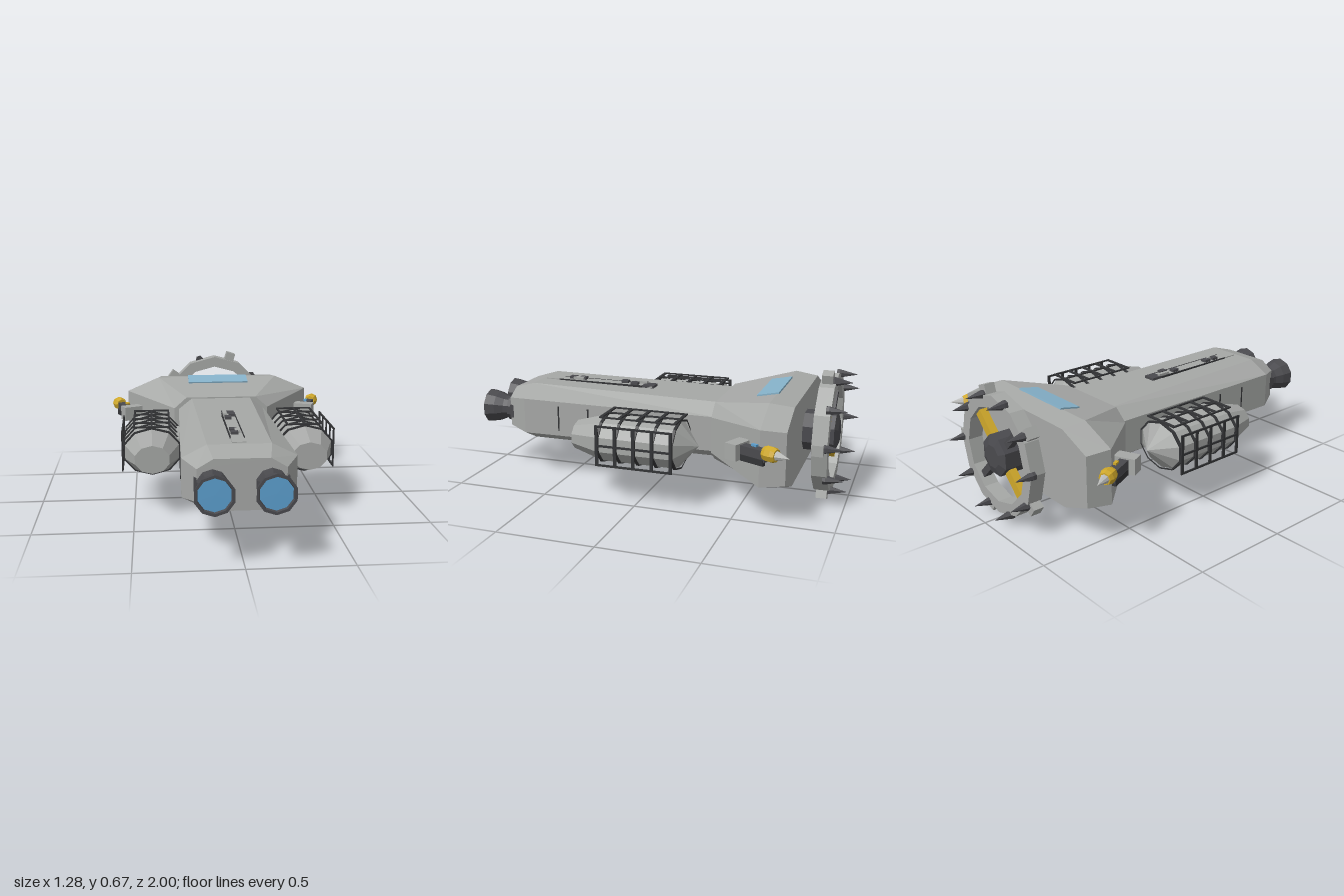
import * as THREE from 'three';

const mat = (name, color, side = THREE.FrontSide) => {
  const m = new THREE.MeshStandardMaterial({ color, side });
  m.name = name;
  return m;
};

export function createModel() {
  const model = new THREE.Group();
  model.name = 'spaceship';
  const hullGrey = mat('hull grey', 0xa6a8a6);
  const darkGrey = mat('dark grey', 0x4a4a4e);
  const frameBlack = mat('frame black', 0x333436);
  const yellow = mat('yellow', 0xcfa82a);
  const glowBlue = mat('engine blue', 0x5c9fce);
  const glassBlue = mat('window blue', 0x86b2ca);
  const paleGrey = mat('pale grey', 0xb9bab8);
  const CY = 0.34;

  // Faceted mesh: one normal per face
  const add = (name, geo, material, parent = model) => {
    const g = geo.index ? geo.toNonIndexed() : geo;
    g.computeVertexNormals();
    const m = new THREE.Mesh(g, material);
    m.name = name;
    parent.add(m);
    return m;
  };
  const box = (name, w, h, d, x, y, z, material, parent) => {
    const m = add(name, new THREE.BoxGeometry(w, h, d), material, parent);
    m.position.set(x, y, z);
    return m;
  };
  const group = (name, parent = model) => {
    const g = new THREE.Group();
    g.name = name;
    parent.add(g);
    return g;
  };
  // Turned solid along z; profile points are [radius, z] with z rising
  const turned = (profile, sides) => new THREE.LatheGeometry(
    profile.map(([r, z]) => new THREE.Vector2(r, z)), sides).rotateX(Math.PI / 2);

  // Loft of eight-cornered sections: [z, halfWidth, flatHalfWidth, top, upperEdge, lowerEdge, bottom]
  const loft = (sections) => {
    const rings = sections.map(([z, w, f, t, u, l, b]) =>
      [[f, t], [-f, t], [-w, u], [-w, l], [-f, b], [f, b], [w, l], [w, u]].map(([x, y]) => [x, y, z]));
    const pos = [];
    const tri = (a, b, c) => pos.push(...a, ...b, ...c);
    for (let i = 0; i < rings.length - 1; i++) {
      const p = rings[i], q = rings[i + 1];
      for (let k = 0; k < 8; k++) {
        const n = (k + 1) % 8;
        tri(p[k], p[n], q[n]);
        tri(p[k], q[n], q[k]);
      }
    }
    const back = rings[0], front = rings[rings.length - 1];
    for (let k = 1; k < 7; k++) {
      tri(front[0], front[k], front[k + 1]);
      tri(back[0], back[k + 1], back[k]);
    }
    const g = new THREE.BufferGeometry();
    g.setAttribute('position', new THREE.Float32BufferAttribute(pos, 3));
    return g;
  };

  // Hull and wide head
  add('hull', loft([
    [-0.36, 0.245, 0.17, 0.49, 0.43, 0.25, 0.2],
    [0.72, 0.27, 0.15, 0.5, 0.44, 0.25, 0.19],
    [0.84, 0.205, 0.13, 0.465, 0.42, 0.265, 0.22],
  ]), hullGrey);
  add('head', loft([
    [-0.76, 0.515, 0.34, 0.545, 0.47, 0.21, 0.145],
    [-0.64, 0.543, 0.355, 0.56, 0.48, 0.2, 0.13],
    [-0.33, 0.27, 0.2, 0.497, 0.435, 0.25, 0.195],
  ]), hullGrey);
  const pane = box('window', 0.355, 0.009, 0.112, 0, 0.554, -0.595, glassBlue);
  pane.rotation.x = 0.2;

  // Spine strip with fittings, and belly fittings
  box('spineStrip', 0.066, 0.008, 0.63, 0, 0.5, 0.385, hullGrey);
  box('spineEnd', 0.066, 0.014, 0.065, 0, 0.5, 0.095, darkGrey);
  for (const s of [-1, 1]) box('spineGroove', 0.006, 0.012, 0.49, s * 0.033, 0.499, 0.375, frameBlack);
  for (const [x, z, w, d, m] of [[0.015, 0.175, 0.032, 0.04, darkGrey], [-0.01, 0.24, 0.032, 0.04, darkGrey],
    [-0.02, 0.15, 0.02, 0.07, hullGrey], [-0.008, 0.49, 0.035, 0.04, darkGrey],
    [-0.008, 0.55, 0.035, 0.035, darkGrey], [0.01, 0.51, 0.025, 0.06, hullGrey]]) {
    box('spineFitting', w, 0.022, d, x, 0.507, z, m);
  }
  for (const [x, z, m] of [[-0.01, 0.46, darkGrey], [0.015, 0.38, darkGrey], [0.04, 0.23, paleGrey]]) {
    box('bellyFitting', 0.04, 0.026, 0.055, x, 0.188, z, m);
  }

  for (const s of [-1, 1]) {
    const side = s > 0 ? 'left' : 'right';

    // Seams on the hull flank
    for (const z of [0.35, 0.52]) {
      box(side + 'FlankSeam', 0.006, 0.135, 0.007, s * (0.26 + z * 0.01), CY + 0.005, z, frameBlack);
    }

    // Main engine
    const engine = group(side + 'Engine');
    engine.position.set(s * 0.135, 0.345, 0);
    add('nozzle', turned([[0, 0.8], [0.074, 0.8], [0.074, 0.868], [0.06, 0.872], [0.064, 0.9],
      [0.083, 0.945], [0.094, 1], [0.081, 1], [0.077, 0.983]], 10), darkGrey, engine);
    add('exhaustGlow', turned([[0.079, 0.985], [0, 0.9855]], 10), glowBlue, engine);
    box('engineBracket', 0.04, 0.07, 0.03, s * 0.062, 0, 0.825, darkGrey, engine);

    // Side pod with oval section
    const pod = group(side + 'Pod');
    pod.position.set(s * 0.402, 0.322, 0);
    add('tank', turned([[0, -0.305], [0.15, -0.205], [0.15, 0.175], [0.092, 0.34], [0, 0.34]], 10)
      .scale(1, 0.8, 1), hullGrey, pod);
    box('podStrut', 0.14, 0.1, 0.28, -s * 0.14, 0, -0.02, hullGrey, pod);
    // Cage: hoops, top rack and outer rack
    for (let i = 0; i < 5; i++) {
      const z = -0.21 + i * 0.096;
      add('hoop', turned([[0.146, z - 0.007], [0.157, z - 0.007], [0.157, z + 0.007], [0.146, z + 0.007]], 10)
        .scale(1, 0.81, 1), frameBlack, pod);
      box('topRackBar', 0.195, 0.007, 0.016, 0, 0.129, z, frameBlack, pod);
      box('outerRackBar', 0.007, 0.21, 0.016, s * 0.155, 0, z, frameBlack, pod);
    }
    for (const k of [-1, 0, 1]) {
      box('topRackRail', 0.01, 0.007, 0.39, k * 0.093, 0.129, -0.018, frameBlack, pod);
      box('outerRackRail', 0.007, 0.01, 0.39, s * 0.155, k * 0.1, -0.018, frameBlack, pod);
    }

    // Angled gun, pointing backward and outward
    const gun = group(side + 'Gun');
    gun.position.set(s * 0.522, 0.38, -0.53);
    gun.rotation.y = -s * 0.42;
    box('gunMount', 0.11, 0.08, 0.065, 0, -0.01, 0, hullGrey, gun);
    box('gunBody', 0.045, 0.055, 0.14, 0, -0.005, -0.1, darkGrey, gun);
    box('gunRail', 0.02, 0.03, 0.13, s * 0.015, -0.035, -0.1, frameBlack, gun);
    box('gunLight', 0.016, 0.012, 0.03, -s * 0.012, 0.027, -0.09, s > 0 ? glowBlue : yellow, gun);
    add('gunCollar', turned([[0, -0.225], [0.03, -0.225], [0.038, -0.205], [0.038, -0.175], [0.03, -0.155], [0, -0.155]], 8),
      yellow, gun).position.y = 0.01;
    add('gunTip', turned([[0, -0.295], [0.024, -0.222], [0, -0.222]], 8), paleGrey, gun).position.y = 0.01;
  }

  // Rear wheel: twelve-sided ring
  const wheel = group('rearWheel');
  wheel.position.y = CY;
  const polygon = (r) => Array.from({ length: 12 }, (_, i) =>
    new THREE.Vector2(r * Math.cos(i * Math.PI / 6), r * Math.sin(i * Math.PI / 6)));
  const rim = new THREE.Shape(polygon(0.308));
  rim.holes.push(new THREE.Path(polygon(0.247)));
  add('rim', new THREE.ExtrudeGeometry(rim, { depth: 0.077, bevelEnabled: false }).translate(0, 0, -0.917),
    hullGrey, wheel);
  add('hub', turned([[0, -0.935], [0.06, -0.935], [0.105, -0.92], [0.105, -0.74], [0, -0.74]], 8)
    .rotateZ(Math.PI / 8), darkGrey, wheel);

  // Spikes around the rim, with a block at every second one
  for (let i = 0; i < 10; i++) {
    const arm = group('rimStation', wheel);
    arm.rotation.z = i * Math.PI / 5;
    add('spike', turned([[0, -1], [0.023, -0.91], [0.023, -0.895], [0, -0.895]], 6), darkGrey, arm).position.x = 0.3;
    if (i % 2 === 0) box('rimBlock', 0.055, 0.055, 0.055, 0.318, 0, -0.876, hullGrey, arm);
  }
  // Diagonal spokes, alternately yellow and dark
  for (let i = 0; i < 4; i++) {
    const arm = group('spokeArm', wheel);
    arm.rotation.z = Math.PI / 4 + i * Math.PI / 2;
    box('spoke', 0.18, i % 2 ? 0.036 : 0.05, 0.04, 0.17, 0, -0.878, i % 2 ? darkGrey : yellow, arm);
  }
  return model;
}
